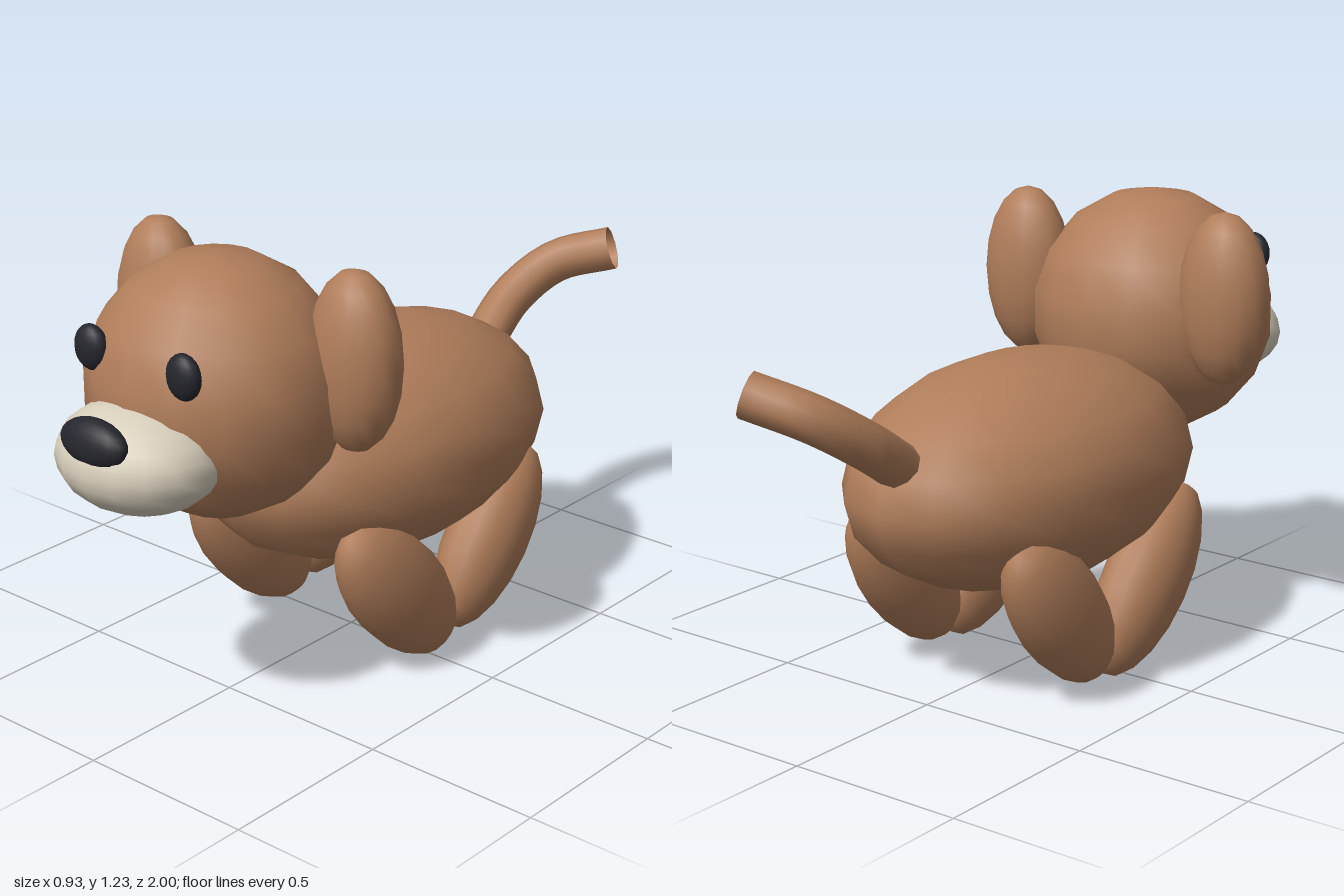
import * as THREE from 'three';

const material = (name, color) => {
  const m = new THREE.MeshStandardMaterial({ color });
  m.name = name;
  return m;
};

export function createModel() {
  const group = new THREE.Group();
  const brown = material('brown fur', 0xb07d5a);
  const cream = material('cream muzzle', 0xd8cfbc);
  const black = material('black', 0x25262d);
  brown.side = THREE.DoubleSide; // the tail tube is open at its tip

  // Smooth ellipsoid: centre, radii, tilt about x, rows of the sphere
  function ellipsoid(name, mat, position, radii, tilt = 0, rows = 10) {
    const mesh = new THREE.Mesh(new THREE.SphereGeometry(1, 16, rows), mat);
    mesh.name = name;
    mesh.position.set(...position);
    mesh.scale.set(...radii);
    mesh.rotation.x = tilt;
    group.add(mesh);
  }

  // Trunk and head
  ellipsoid('body', brown, [0, 0.565, -0.09], [0.383, 0.31, 0.598]);
  ellipsoid('head', brown, [0, 0.888, 0.518], [0.348, 0.348, 0.335], 0, 9);
  ellipsoid('muzzle', cream, [0, 0.78, 0.8], [0.226, 0.14, 0.195], 0, 12);
  ellipsoid('nose', black, [0, 0.86, 0.95], [0.108, 0.06, 0.043], -0.25, 12);

  // Mirrored pairs
  for (const [side, s] of [['left', 1], ['right', -1]]) {
    ellipsoid(side + 'Eye', black, [s * 0.158, 1.023, 0.798], [0.052, 0.06, 0.032], 0, 12);
    ellipsoid(side + 'Ear', brown, [s * 0.334, 0.985, 0.375], [0.133, 0.24, 0.106]);
    ellipsoid(side + 'FrontLeg', brown, [s * 0.265, 0.241, 0.122], [0.106, 0.295, 0.142], 0.74);
    ellipsoid(side + 'HindLeg', brown, [s * 0.265, 0.26, -0.275], [0.106, 0.28, 0.138], -0.69);
  }

  // Curved tail, bending up and to the left
  const path = new THREE.CatmullRomCurve3([
    new THREE.Vector3(-0.012, 0.68, -0.6),
    new THREE.Vector3(-0.02, 0.775, -0.745),
    new THREE.Vector3(0.04, 0.86, -0.87),
    new THREE.Vector3(0.185, 0.913, -0.945),
  ]);
  const tail = new THREE.Mesh(new THREE.TubeGeometry(path, 14, 0.062, 10), brown);
  tail.name = 'tail';
  group.add(tail);

  return group;
}
